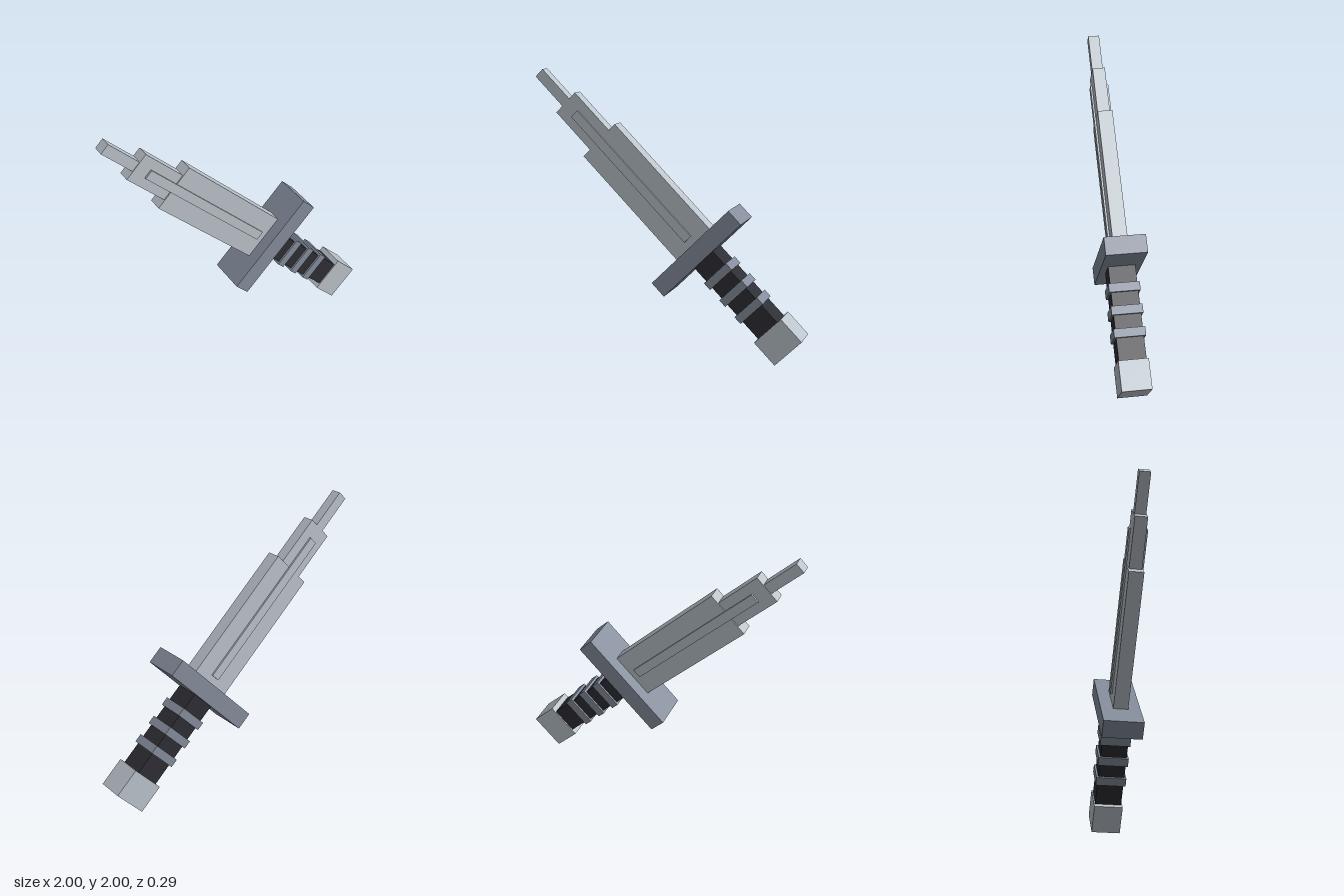
import * as THREE from 'three';

const mat = (name, color) => {
  const m = new THREE.MeshStandardMaterial({ color });
  m.name = name;
  return m;
};

export function createModel() {
  const steel = mat('pale steel', 0xbcc4cc);
  const iron = mat('blue grey iron', 0x868e9d);
  const leather = mat('dark leather', 0x2e2e35);

  // The sword is built upright along y, then tilted 45 degrees
  const sword = new THREE.Group();
  sword.name = 'sword';

  // Box spanning y0..y1 along the sword, centred across width and depth
  const block = (name, material, y0, y1, width, depth) => {
    const mesh = new THREE.Mesh(new THREE.BoxGeometry(width, y1 - y0, depth), material);
    mesh.name = name;
    mesh.position.y = (y0 + y1) / 2;
    sword.add(mesh);
    return mesh;
  };

  // Handle
  block('pommel', steel, -0.572, -0.361, 0.265, 0.208);
  block('grip', leather, -0.361, 0.3, 0.187, 0.19);
  for (const y of [0.147, -0.012, -0.17]) {
    block('gripRing', iron, y - 0.031, y + 0.031, 0.222, 0.218);
  }
  block('guard', iron, 0.3, 0.428, 0.787, 0.286);

  // Stepped blade
  block('bladeBase', steel, 0.428, 1.428, 0.34, 0.106);
  block('bladeMiddle', steel, 1.428, 1.793, 0.206, 0.09);
  block('bladeTip', steel, 1.793, 2.084, 0.076, 0.08);

  // Raised ridge on both faces of the blade, running past the first step
  for (const side of [1, -1]) {
    block('bladeRidge', steel, 0.483, 1.688, 0.067, 0.013).position.z = side * 0.0595;
  }

  sword.rotation.z = Math.PI / 4;
  sword.position.set(0.5, 0.5, 0);

  const model = new THREE.Group();
  model.name = 'model';
  model.add(sword);
  return model;
}
